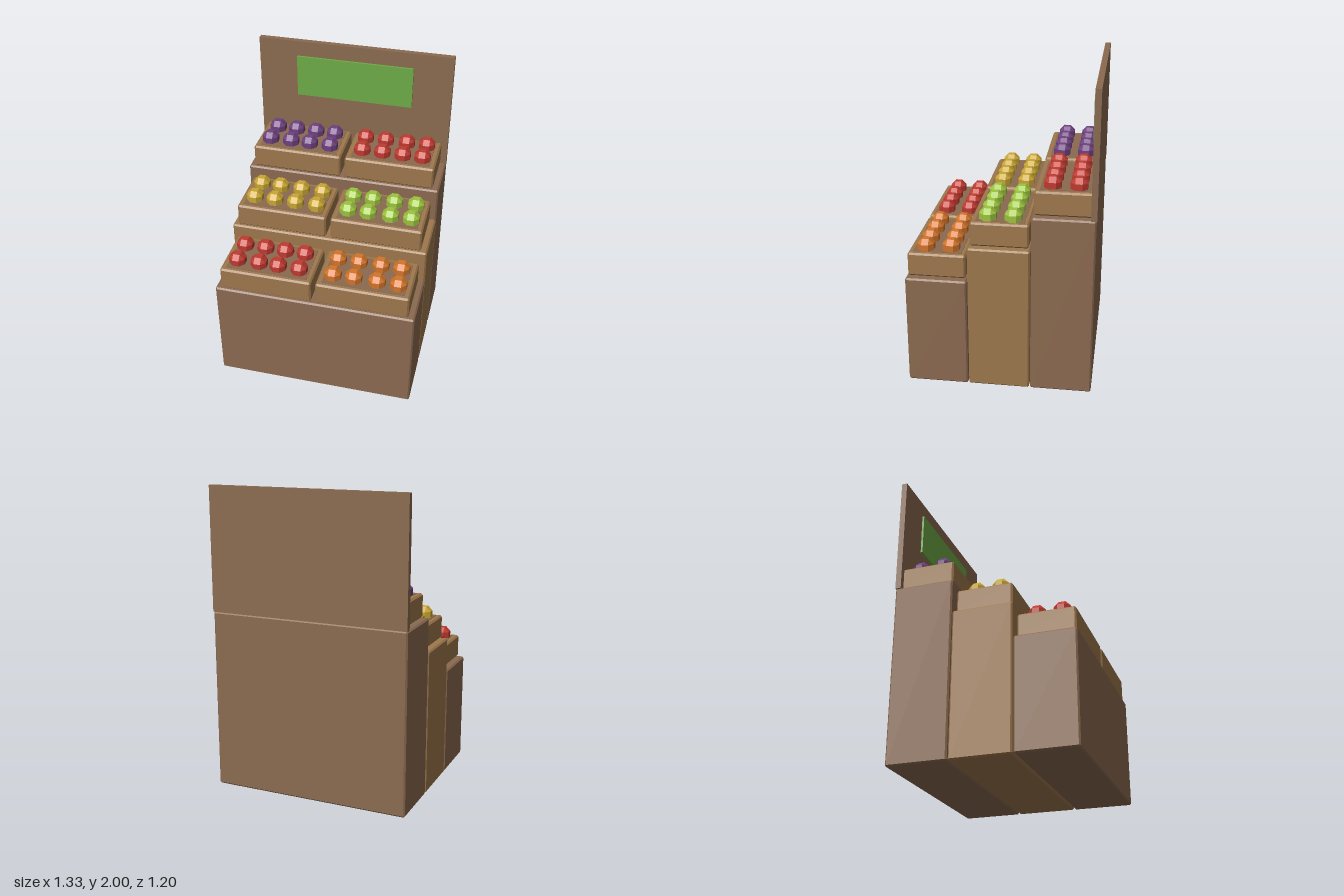
import * as THREE from 'three';
import { ConvexGeometry } from 'three/addons/geometries/ConvexGeometry.js';

const paint = (name, color) => {
  const m = new THREE.MeshStandardMaterial({ color });
  m.name = name;
  return m;
};

// Box with flat chamfered edges and corners, centred on the origin
function chamferBox(w, h, d, b) {
  const points = [];
  for (const x of [-1, 1]) for (const y of [-1, 1]) for (const z of [-1, 1]) {
    for (let outer = 0; outer < 3; outer++) {
      const p = [w / 2, h / 2, d / 2].map((half, i) => (i === outer ? half : half - b));
      points.push(new THREE.Vector3(x * p[0], y * p[1], z * p[2]));
    }
  }
  return new ConvexGeometry(points);
}

export function createModel() {
  const root = new THREE.Group();
  root.name = 'produceStand';
  const darkWood = paint('dark wood', 0x8b6a50);
  const lightWood = paint('light wood', 0x9e784d);
  const signGreen = paint('sign green', 0x6eab46);
  const red = paint('red', 0xc03a30);
  const orange = paint('orange', 0xd2752a);
  const yellow = paint('yellow', 0xc9a632);
  const lime = paint('lime', 0x9dc43f);
  const purple = paint('purple', 0x6f4180);

  const add = (parent, name, geometry, material, x, y, z) => {
    const mesh = new THREE.Mesh(geometry, material);
    mesh.name = name;
    mesh.position.set(x, y, z);
    parent.add(mesh);
    return mesh;
  };

  const crateGeo = chamferBox(0.61, 0.155, 0.37, 0.011);
  const fillGeo = new THREE.BoxGeometry(0.54, 0.006, 0.31);
  const fruitGeo = chamferBox(0.106, 0.106, 0.106, 0.031);

  // Stepped tiers, front to back; each crate lists the x of its back and front fruit rows
  const tiers = [
    { z: 0.4, h: 0.735, wood: darkWood, crates: [
      { fruit: red, xs: [-0.535, -0.393, -0.257, -0.121, -0.535, -0.389, -0.26, -0.118] },
      { fruit: orange, xs: [0.104, 0.243, 0.389, 0.525, 0.107, 0.243, 0.396, 0.535] }] },
    { z: 0, h: 0.965, wood: lightWood, crates: [
      { fruit: yellow, xs: [-0.532, -0.4, -0.253, -0.104, -0.532, -0.393, -0.25, -0.104] },
      { fruit: lime, xs: [0.111, 0.246, 0.393, 0.539, 0.111, 0.246, 0.396, 0.535] }] },
    { z: -0.4, h: 1.19, wood: darkWood, crates: [
      { fruit: purple, xs: [-0.528, -0.393, -0.253, -0.118, -0.535, -0.389, -0.257, -0.114] },
      { fruit: red, xs: [0.104, 0.246, 0.393, 0.532, 0.114, 0.253, 0.393, 0.528] }] },
  ];

  for (const { z, h, wood, crates } of tiers) {
    add(root, 'tier', chamferBox(1.33, h, 0.394, 0.01), wood, 0, h / 2, z);

    // Two crates per tier, each with a filled top and two rows of fruit
    crates.forEach(({ fruit, xs }, side) => {
      const group = new THREE.Group();
      group.name = side ? 'leftCrate' : 'rightCrate';
      root.add(group);
      const x = side ? 0.318 : -0.322;
      const top = h + 0.158;
      add(group, 'crateBox', crateGeo, lightWood, x, h + 0.0805, z);
      add(group, 'crateFill', fillGeo, darkWood, x, top, z);
      xs.forEach((fx, i) => add(group, 'fruit', fruitGeo, fruit, fx, top + 0.022, z + (i < 4 ? -0.08 : 0.08)));
    });
  }

  // Backboard and sign panel
  add(root, 'backboard', new THREE.BoxGeometry(1.33, 0.81, 0.038), darkWood, 0, 1.595, -0.581);
  add(root, 'signPanel', new THREE.BoxGeometry(0.8, 0.29, 0.014), signGreen, 0, 1.75, -0.555);

  return root;
}
